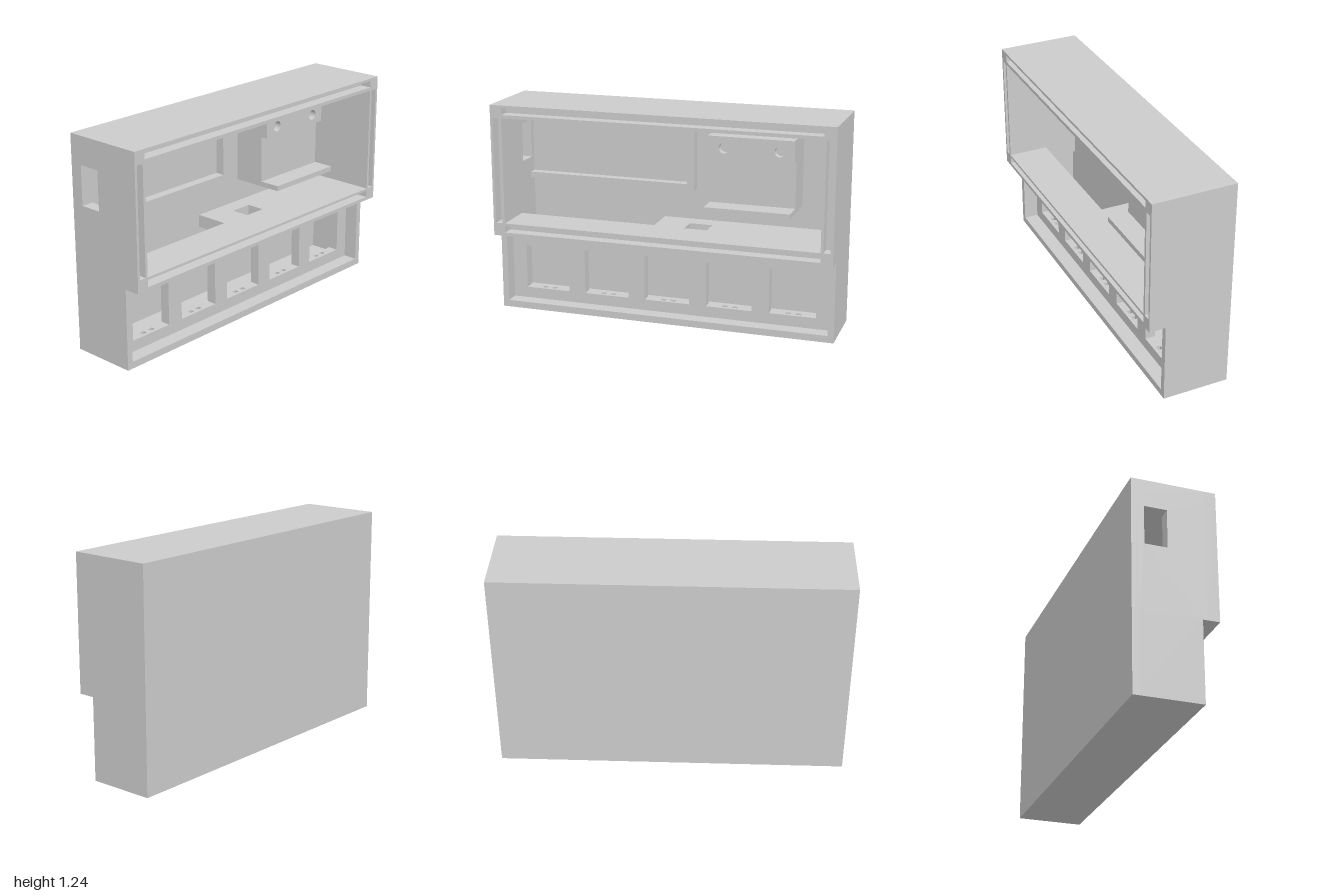
import * as THREE from 'three';

const material = new THREE.MeshStandardMaterial({ color: 0xcccccc });

function add(group, name, geometry) {
  const mesh = new THREE.Mesh(geometry, material);
  mesh.name = name;
  group.add(mesh);
  return mesh;
}

// Box given by its limits on each axis
function box(group, name, x0, x1, y0, y1, z0, z1) {
  const g = new THREE.BoxGeometry(x1 - x0, y1 - y0, z1 - z0);
  g.translate((x0 + x1) / 2, (y0 + y1) / 2, (z0 + z1) / 2);
  return add(group, name, g);
}

const rect = (x0, x1, y0, y1) => [[x0, y0], [x1, y0], [x1, y1], [x0, y1]];
const path = (pts) => new THREE.Path(pts.map(([x, y]) => new THREE.Vector2(x, y)));

function plate(outline, holes, depth) {
  const shape = new THREE.Shape(path(outline).getPoints());
  shape.holes = holes;
  return new THREE.ExtrudeGeometry(shape, { depth, bevelEnabled: false, curveSegments: 16 });
}

// Horizontal slab: outline in (x, -z), extruded upward from y0
function slab(outline, holes, y0, y1) {
  return plate(outline, holes, y1 - y0).rotateX(-Math.PI / 2).translate(0, y0, 0);
}

export function createModel() {
  const model = new THREE.Group();
  model.name = 'wallCabinet';

  // Outer shell
  box(model, 'backWall', -1, 1, 0, 1.24, -0.24, -0.2);
  box(model, 'topWall', -1, 1, 1.165, 1.24, -0.2, 0.17);
  box(model, 'rightSideWall', 0.93, 1, 0.47, 1.165, -0.2, 0.17).name = 'leftSideWall';

  // Side wall with an upright slot, drawn in (-z, y) and turned to face x
  const slotted = plate(rect(-0.17, 0.2, 0.47, 1.165), [path(rect(0.04, 0.168, 0.855, 1.08))], 0.07);
  slotted.rotateY(Math.PI / 2).translate(-1, 0, 0);
  add(model, 'slottedSideWall', slotted);

  // Front frame with a large opening and four grooves
  const grooves = [
    rect(-0.93, 0.93, 1.185, 1.225), rect(-0.93, 0.93, 0.49, 0.53),
    rect(-0.985, -0.945, 0.545, 1.165), rect(0.945, 0.985, 0.545, 1.165),
  ];
  const frame = plate(rect(-1, 1, 0.47, 1.24),
    [rect(-0.93, 0.93, 0.545, 1.165), ...grooves].map(path), 0.07);
  add(model, 'frontFrame', frame.translate(0, 0, 0.17));

  // Upper floor: open to the lower chamber on one side, small hatch on the other
  const floorOutline = [[-0.93, -0.17], [0.93, -0.17], [0.93, 0.2], [-0.095, 0.2], [-0.095, 0], [-0.93, 0]];
  add(model, 'upperFloor', slab(floorOutline, [path(rect(0.09, 0.225, -0.01, 0.1))], 0.47, 0.545));

  // Ledge and upright on the back wall
  box(model, 'backLedge', -0.93, 0.1, 0.73, 0.765, -0.2, -0.146);
  box(model, 'backUpright', 0.055, 0.1, 0.765, 1.165, -0.2, -0.146);

  // Raised unit with shelf and drilled fascia
  const unit = new THREE.Group();
  unit.name = 'raisedUnit';
  model.add(unit);
  box(unit, 'unitBody', 0.235, 0.73, 0.68, 1.105, -0.2, -0.01);
  box(unit, 'unitShelf', 0.235, 0.73, 0.68, 0.71, -0.01, 0.115);
  box(unit, 'unitTop', 0.235, 0.73, 1.08, 1.105, -0.01, 0.045);
  const drilled = [0.325, 0.645].map((x) => new THREE.Path().absarc(x, 1.035, 0.03, 0, Math.PI * 2));
  add(unit, 'unitFascia', plate(rect(0.235, 0.73, 0.98, 1.08), drilled, 0.04).translate(0, 0, -0.01));

  // Lower cabinet
  box(model, 'baseFloor', -1, 1, 0, 0.04, -0.2, 0.145);
  for (const s of [-1, 1]) {
    box(model, 'baseSide', Math.min(s, s * 0.965), Math.max(s, s * 0.965), 0.04, 0.47, -0.2, 0.145);
  }

  // Panel with five windows: lintel, posts and a sill with paired holes
  const centres = [-2, -1, 0, 1, 2].map((i) => i * 0.372);
  const half = 0.136;
  box(model, 'windowLintel', -0.965, 0.965, 0.37, 0.47, 0, 0.06);
  for (let i = 0; i <= 5; i++) {
    const x0 = i === 0 ? -0.965 : centres[i - 1] + half;
    const x1 = i === 5 ? 0.965 : centres[i] - half;
    box(model, 'windowPost', x0, x1, 0.105, 0.37, 0, 0.06);
  }
  const pegHoles = centres.flatMap((c) => [-0.03, 0.03].map((d) =>
    path(rect(c + d - 0.015, c + d + 0.015, -0.04, -0.015))));
  add(model, 'windowSill', slab(rect(-0.965, 0.965, -0.06, 0), pegHoles, 0.04, 0.105));

  return model;
}
